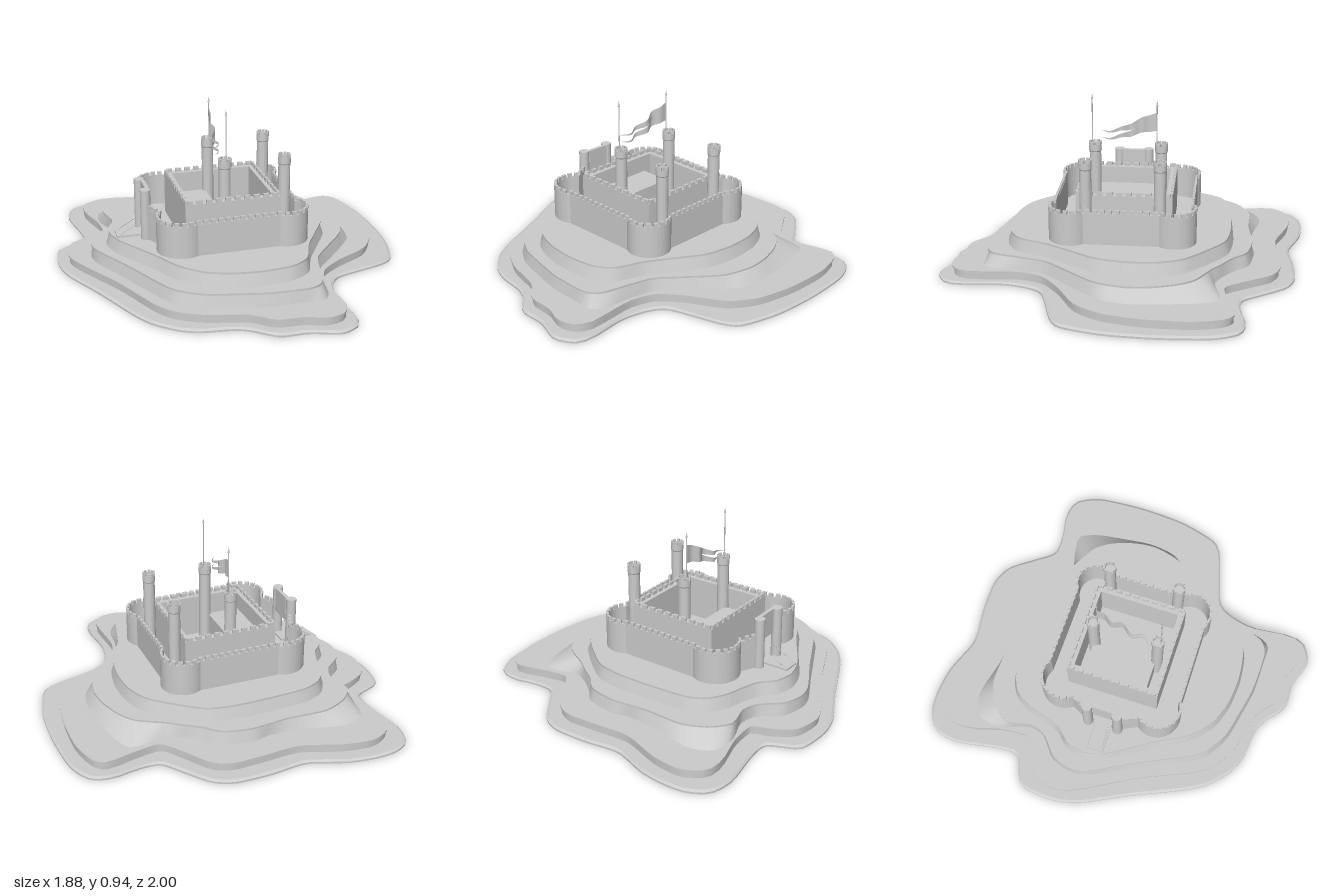
import * as THREE from 'three';
import { mergeGeometries } from 'three/addons/utils/BufferGeometryUtils.js';

const stone = new THREE.MeshStandardMaterial({ color: 0xcccccc, side: THREE.DoubleSide });

// Terrace outlines as x, z pairs, from the shore up to the plateau
const shore = [-.77, -.93, -.67, -.99, -.55, -1, -.4, -.98, -.2, -.91, 0, -.93, .19, -.93, .305, -.88, .41, -.745,
  .49, -.645, .61, -.64, .745, -.665, .855, -.635, .92, -.5, .94, -.235, .925, .03, .865, .25, .775, .315, .5, .4,
  .43, .495, .4, .64, .42, .85, .4, .94, .325, .99, .27, .995, .135, .95, -.015, .945, -.13, .855, -.21, .82,
  -.37, .8, -.475, .755, -.585, .655, -.66, .53, -.79, .24, -.91, 0, -.945, -.155, -.92, -.35, -.765, -.43,
  -.76, -.555, -.8, -.79];
const lowTerrace = [-.7, -.855, -.585, -.925, -.42, -.91, -.2, -.835, 0, -.845, .18, -.85, .28, -.8, .375, -.66,
  .46, -.555, .61, -.575, .76, -.61, .825, -.555, .865, -.395, .86, -.155, .815, .055, .72, .2, .535, .31, .41, .415,
  .365, .56, .38, .815, .335, .905, .24, .93, .135, .895, -.01, .885, -.13, .795, -.34, .74, -.475, .665, -.555, .56,
  -.685, .27, -.82, .03, -.89, -.13, -.86, -.29, -.74, -.37, -.655, -.405, -.66, -.555, -.71, -.74];
const midFoot = [-.65, -.56, -.63, -.7, -.5, -.75, -.29, -.705, -.1, -.69, 0, -.71, .17, -.68, .24, -.61, .33, -.54,
  .42, -.5, .5, -.52, .61, -.53, .66, -.42, .685, -.25, .7, -.1, .68, .04, .62, .13, .49, .28, .38, .41, .345, .56,
  .335, .68, .29, .75, .2, .75, 0, .745, -.13, .72, -.32, .675, -.45, .595, -.51, .5, -.645, .22, -.755, 0,
  -.77, -.1, -.735, -.22, -.62, -.32, -.6, -.42];
const midTerrace = [-.63, -.53, -.555, -.625, -.42, -.685, -.2, -.68, 0, -.7, .16, -.67, .24, -.595, .33, -.535,
  .405, -.48, .535, -.405, .6, -.315, .645, -.18, .655, -.05, .61, .11, .48, .27, .375, .4, .33, .56, .295, .69,
  .215, .74, 0, .735, -.13, .71, -.315, .665, -.44, .585, -.5, .495, -.635, .215, -.75, 0, -.77, -.1, -.735, -.21,
  -.635, -.3, -.6, -.395];
const plateau = [-.55, -.315, -.52, -.42, -.46, -.515, -.34, -.565, 0, -.58, .19, -.555, .32, -.465, .455, -.34,
  .51, -.21, .52, -.05, .49, .11, .415, .24, .32, .4, .26, .55, .16, .62, 0, .64, -.155, .625, -.29, .575,
  -.405, .465, -.5, .295, -.635, .08, -.675, -.05, -.65, -.155, -.585, -.225];

// Radius of a smooth outline, sampled at even angles
const SIDES = 160;
function radii(flat) {
  const pts = [];
  for (let i = 0; i < flat.length; i += 2) pts.push(new THREE.Vector3(flat[i], 0, flat[i + 1]));
  const polar = new THREE.CatmullRomCurve3(pts, true, 'catmullrom', 0.35).getPoints(320).slice(1)
    .map(p => [Math.atan2(p.z, p.x), Math.hypot(p.x, p.z)]).sort((a, b) => a[0] - b[0]);
  const first = polar[0], last = polar[polar.length - 1];
  polar.unshift([last[0] - 2 * Math.PI, last[1]]);
  polar.push([first[0] + 2 * Math.PI, first[1]]);
  return Array.from({ length: SIDES }, (_, i) => {
    const a = -Math.PI + i / SIDES * 2 * Math.PI;
    const k = Math.max(1, polar.findIndex(p => p[0] > a));
    const [a0, r0] = polar[k - 1], [a1, r1] = polar[k];
    return r0 + (r1 - r0) * (a - a0) / Math.max(a1 - a0, 1e-6);
  });
}

// Band between two rings; each ring is [radii, height, outset]
function band([ra, ya, da], [rb, yb, db]) {
  const pos = [], index = [];
  for (let i = 0; i <= SIDES; i++) {
    const a = -Math.PI + i / SIDES * 2 * Math.PI, c = Math.cos(a), s = Math.sin(a), k = i % SIDES;
    const p = ra[k] + da, q = rb[k] + db;
    pos.push(p * c, ya, p * s, q * c, yb, q * s);
    const n = 2 * i;
    if (i < SIDES) index.push(n, n + 1, n + 2, n + 1, n + 3, n + 2);
  }
  const g = new THREE.BufferGeometry();
  g.setAttribute('position', new THREE.Float32BufferAttribute(pos, 3));
  g.setIndex(index);
  g.computeVertexNormals();
  return g;
}

function add(parent, name, geometry, x = 0, y = 0, z = 0) {
  const m = new THREE.Mesh(geometry, stone);
  m.name = name;
  m.position.set(x, y, z);
  parent.add(m);
  return m;
}

const arc = (cx, cz, r, a0, a1, n = 18) => Array.from({ length: n + 1 }, (_, i) => {
  const a = (a0 + (a1 - a0) * i / n) * Math.PI / 180;
  return new THREE.Vector2(cx + r * Math.cos(a), cz + r * Math.sin(a));
});

// Thin upright wall that follows a path in x, z
function wallGeometry(path, t, height) {
  const inner = path.map((p, i) => {
    const d = path[Math.min(i + 1, path.length - 1)].clone().sub(path[Math.max(i - 1, 0)]).normalize();
    return new THREE.Vector2(p.x - d.y * t, p.y + d.x * t);
  });
  const shape = new THREE.Shape([...path, ...inner.reverse()].map(p => new THREE.Vector2(p.x, -p.y)));
  return new THREE.ExtrudeGeometry(shape, { depth: height, bevelEnabled: false }).rotateX(-Math.PI / 2);
}

// Merlons spaced evenly along a path
function merlons(path, t, y, h, step) {
  const curve = new THREE.CurvePath();
  for (let i = 1; i < path.length; i++) curve.add(new THREE.LineCurve(path[i - 1], path[i]));
  const n = Math.round(curve.getLength() / step), parts = [];
  for (let i = 0; i < n; i++) {
    const u = (i + 0.5) / n, p = curve.getPointAt(u), d = curve.getTangentAt(u);
    parts.push(new THREE.BoxGeometry(step * 0.6, h, t).rotateY(-Math.atan2(d.y, d.x))
      .translate(p.x - d.y * t / 2, y + h / 2, p.y + d.x * t / 2));
  }
  return mergeGeometries(parts);
}

function rod(parent, name, a, b, r) {
  const d = b.clone().sub(a), m = add(parent, name, new THREE.CylinderGeometry(r, r, d.length(), 6));
  m.position.copy(a).addScaledVector(d, 0.5);
  m.quaternion.setFromUnitVectors(new THREE.Vector3(0, 1, 0), d.normalize());
}

// Round tower with a hollow crenellated crown
function tower(parent, x, z) {
  const g = new THREE.Group();
  g.name = 'tower';
  g.position.set(x, 0, z);
  const profile = [[.032, .22], [.032, .615], [.035, .62], [.035, .655], [.026, .655], [.026, .635], [0, .635]];
  const body = new THREE.LatheGeometry(profile.map(p => new THREE.Vector2(...p)), 20).toNonIndexed();
  body.computeVertexNormals();
  add(g, 'towerBody', body);
  add(g, 'towerMerlons', merlons(arc(0, 0, .035, 0, 360, 24), .009, .65, .02, .0275));
  parent.add(g);
}

// Swallow-tailed flag, one rippled strip per tail
function flagTail(side) {
  const g = new THREE.PlaneGeometry(1, 1, 28, 2), p = g.attributes.position;
  for (let i = 0; i < p.count; i++) {
    const u = p.getX(i) + 0.5, v = p.getY(i) + 0.5;
    const outer = .052 - .032 * u, inner = Math.max(0, (u - .4) / .6) * .02;
    const mid = .79 - .09 * THREE.MathUtils.smoothstep(u, -.1, .9);
    p.setXYZ(i, -.082 - .03 * u + .014 * Math.sin(u * 17) * Math.min(1, u * 4),
      mid + side * (inner + (outer - inner) * v), -.16 + .31 * u);
  }
  g.computeVertexNormals();
  return g;
}

export function createModel() {
  const root = new THREE.Group();

  // Stepped island, hollow underneath, with a small lip on every terrace
  const [c0, c1, c2f, c2, c3] = [shore, lowTerrace, midFoot, midTerrace, plateau].map(radii);
  const rings = [[c0, 0, 0], [c0, .01, 0], [c0, .018, -.014],
    [c1, .018, -.008], [c1, .056, -.008], [c1, .056, 0], [c1, .066, 0],
    [c2f, .066, 0], [c2, .132, -.008], [c2, .132, 0], [c2, .142, 0],
    [c3, .142, .014], [c3, .21, -.008], [c3, .21, 0], [c3, .22, 0], [c3.map(() => 0), .22, 0]];
  add(root, 'island', mergeGeometries(rings.slice(1).map((r, i) => band(rings[i], r))));

  // Curtain wall with round corners, open at the gate
  const wall = [new THREE.Vector2(-.49, -.1), ...arc(-.345, -.27, .13, 141, 300), ...arc(.23, -.28, .117, 237, 402),
    ...arc(.23, .28, .117, -42, 123), ...arc(-.345, .27, .13, 60, 219), new THREE.Vector2(-.49, .1)];
  add(root, 'curtainWall', wallGeometry(wall, .014, .175), 0, .22, 0);
  add(root, 'curtainMerlons', merlons(wall, .014, .395, .02, .04));

  // Gatehouse with drawbridge and chains
  for (const s of [-1, 1]) {
    add(root, 'gateTurret', new THREE.CylinderGeometry(.028, .028, .28, 16), -.495, .36, s * .085);
    rod(root, 'drawbridgeChain', new THREE.Vector3(-.635, .23, s * .04), new THREE.Vector3(-.515, .3, s * .04), .002);
  }
  add(root, 'gateLintel', new THREE.BoxGeometry(.02, .14, .13), -.48, .43, 0);
  add(root, 'drawbridge', new THREE.BoxGeometry(.185, .01, .096), -.553, .227, 0);

  // Square keep
  const [x0, x1, z0, z1, t] = [-.315, .205, -.265, .255, .035];
  const cx = (x0 + x1) / 2, cz = (z0 + z1) / 2;
  for (const x of [x0 + t / 2, x1 - t / 2]) add(root, 'keepWall', new THREE.BoxGeometry(t, .235, z1 - z0), x, .3375, cz);
  for (const z of [z0 + t / 2, z1 - t / 2]) add(root, 'keepWall', new THREE.BoxGeometry(x1 - x0 - 2 * t, .235, t), cx, .3375, z);
  const corners = [[x0, z0], [x1, z0], [x1, z1], [x0, z1], [x0, z0]].map(p => new THREE.Vector2(...p));
  for (let i = 0; i < 4; i++) add(root, 'keepMerlons', merlons([corners[i], corners[i + 1]], .014, .455, .02, .052));
  add(root, 'keepHall', new THREE.BoxGeometry(.18, .14, .36), -.19, .29, -.005);

  // Four towers
  for (const [x, z] of [[-.083, -.185], [-.083, .18], [.243, -.2], [.243, .195]]) tower(root, x, z);

  // Flagpoles and flag
  for (const [z, top] of [[-.16, .91], [.195, .94]]) {
    rod(root, 'flagpole', new THREE.Vector3(-.08, .63, z), new THREE.Vector3(-.08, top - .02, z), .003);
    add(root, 'flagpoleTip', new THREE.ConeGeometry(.006, .03, 6), -.08, top - .015, z);
  }
  for (const s of [-1, 1]) add(root, 'flag', flagTail(s));

  return root;
}
